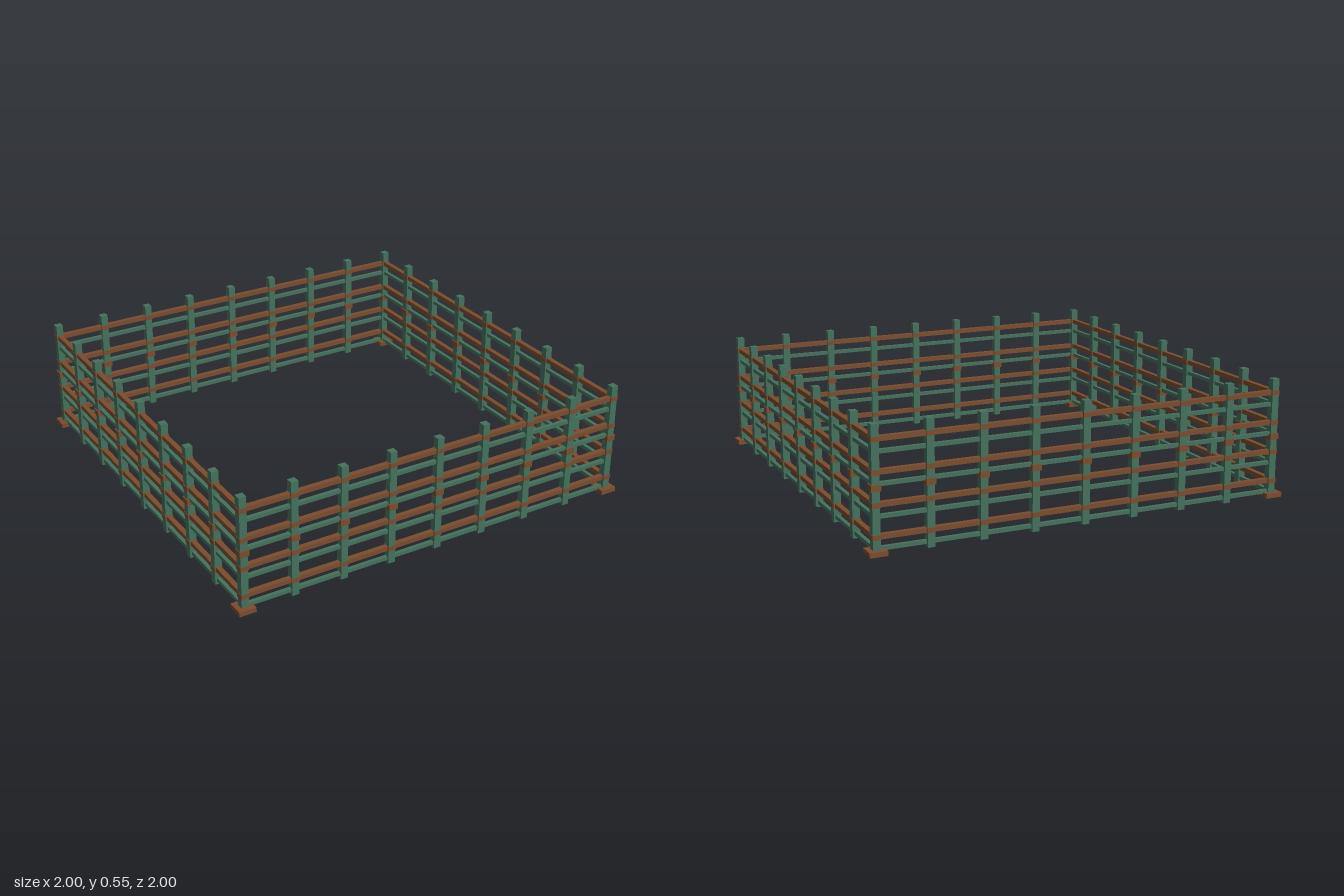
import * as THREE from 'three';

export function createModel() {
  const root = new THREE.Group();
  root.name = 'squareFence';
  const green = new THREE.MeshStandardMaterial({ color: 0x44705c });
  green.name = 'paintedGreen';
  const brown = new THREE.MeshStandardMaterial({ color: 0x7a4c2e });
  brown.name = 'woodBrown';

  const HALF = 0.96, STEP = 0.24, HEIGHT = 0.55;
  const brownRails = [0.075, 0.211, 0.348, 0.487];
  const greenRails = [0.024, 0.16, 0.297, 0.433];

  function box(parent, name, w, h, d, x, y, z, material) {
    const mesh = new THREE.Mesh(new THREE.BoxGeometry(w, h, d), material);
    mesh.name = name;
    mesh.position.set(x, y, z);
    parent.add(mesh);
  }

  // four identical sides, each owning the corner at its -x end
  for (let s = 0; s < 4; s++) {
    const side = new THREE.Group();
    side.name = 'fenceSide' + (s + 1);
    side.rotation.y = s * Math.PI / 2;

    // posts with a collar at mid height and small rail joints
    for (let i = 0; i < 8; i++) {
      const x = -HALF + i * STEP;
      box(side, 'post', 0.034, HEIGHT, 0.034, x, HEIGHT / 2, HALF, green);
      box(side, 'postCollar', 0.044, 0.028, 0.044, x, 0.284, HALF, brown);
      for (const y of brownRails) {
        box(side, 'railJoint', 0.038, 0.022, 0.038, x, y, HALF, brown);
      }
    }

    // alternating brown and green rails
    for (const y of brownRails) {
      box(side, 'brownRail', HALF * 2, 0.021, 0.024, 0, y, HALF, brown);
    }
    for (const y of greenRails) {
      box(side, 'greenRail', HALF * 2, 0.017, 0.018, 0, y, HALF, green);
    }

    // corner foot
    box(side, 'cornerFoot', 0.08, 0.022, 0.08, -HALF, 0.011, HALF, brown);
    root.add(side);
  }
  return root;
}
